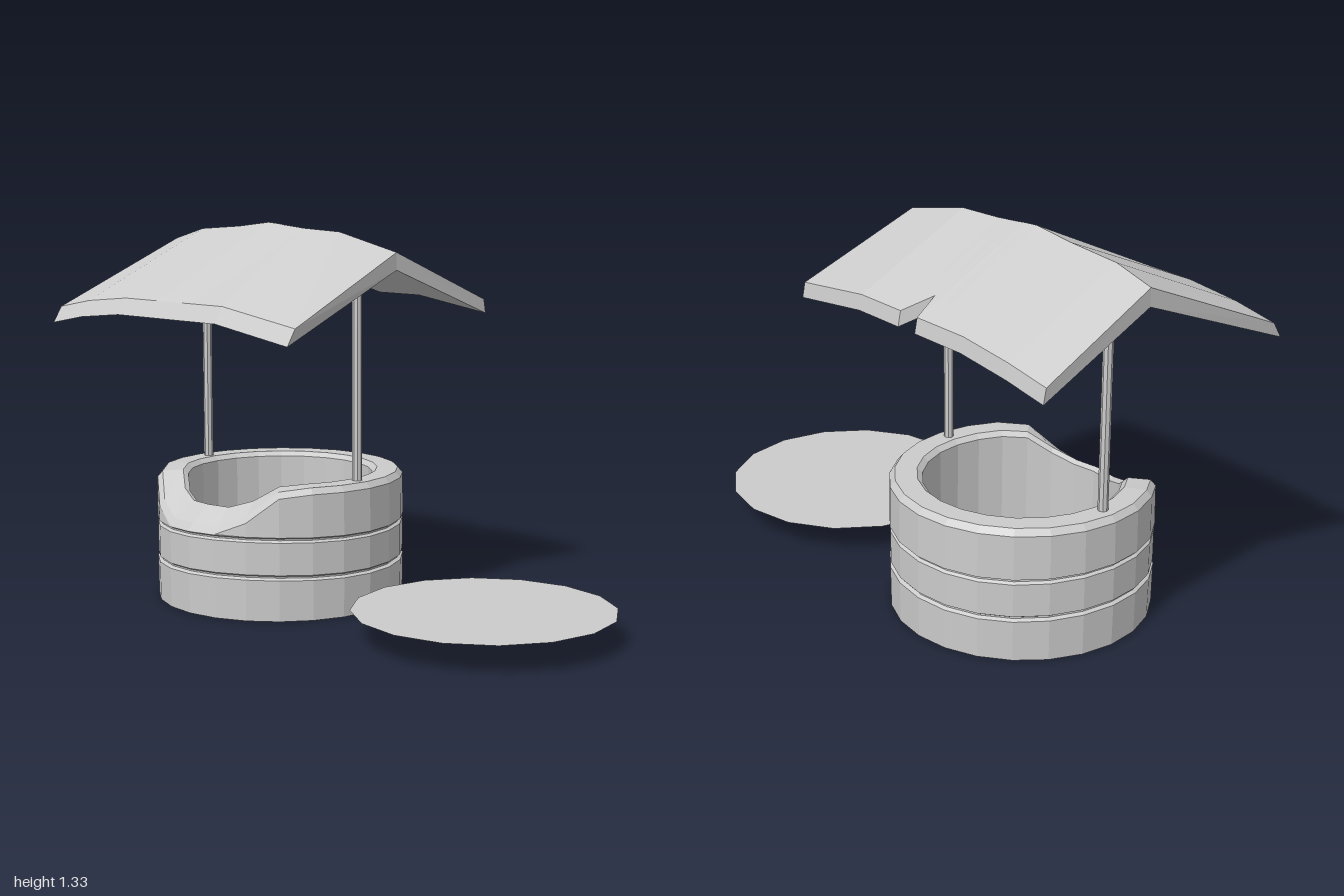
import * as THREE from 'three';

const material = new THREE.MeshStandardMaterial({ color: 0xcccccc, flatShading: true });
const doubleSided = new THREE.MeshStandardMaterial({ color: 0xcccccc, flatShading: true, side: THREE.DoubleSide });

function addMesh(group, name, geometry, mat = material) {
  const mesh = new THREE.Mesh(geometry, mat);
  mesh.name = name;
  group.add(mesh);
  return mesh;
}

// Stone wall: three courses with grooves, turned as one closed profile
function wallGeometry() {
  const profile = [
    [0.33, 0], [0.44, 0], [0.442, 0.14], [0.43, 0.147], [0.43, 0.152], [0.44, 0.158],
    [0.44, 0.27], [0.43, 0.277], [0.43, 0.282], [0.442, 0.288],
    [0.44, 0.435], [0.422, 0.456], [0.348, 0.456], [0.33, 0.44], [0.33, 0],
  ].map(([r, y]) => new THREE.Vector2(r, y));
  const geometry = new THREE.LatheGeometry(profile, 24);
  const pos = geometry.attributes.position;
  for (let i = 0; i < pos.count; i++) {
    const x = pos.getX(i), y = pos.getY(i), z = pos.getZ(i);
    const r = Math.hypot(x, z);
    const angle = Math.atan2(z, -x);
    if (y > 0.43) {
      // Broken gap in the rim on the -x side, deeper on the outside
      const ramp = THREE.MathUtils.clamp((47 - Math.abs(angle) * 180 / Math.PI) / 25, 0, 1);
      const floor = r > 0.43 ? 0.292 : r > 0.4 ? 0.315 : r > 0.34 ? 0.37 : 0.36;
      pos.setY(i, y + (floor - y) * ramp);
    } else if (y > 0.13) {
      // Slightly uneven joints between courses
      pos.setY(i, y + 0.003 * Math.sin(3 * angle));
    }
  }
  geometry.computeVertexNormals();
  return geometry;
}

// Sagging gable roof lofted from six-point cross-sections along z
function roofGeometry() {
  // ridge z, ridge y, left eave z, right eave z, left eave y, right eave y, right eave x
  const sections = [
    [0.135, 1.245, 0.185, 0.17, 1.03, 1.065, 0.48],
    [-0.13, 1.305, -0.15, -0.15, 1.08, 1.11, 0.49],
    [-0.3, 1.312, -0.31, -0.31, 1.08, 1.11, 0.49],
    [-0.345, 1.316, -0.35, -0.345, 1.08, 1.11, 0.49],
    [-0.4, 1.321, -0.4, -0.4, 1.08, 1.153, 0.4], // notch
    [-0.425, 1.324, -0.425, -0.425, 1.08, 1.11, 0.49],
    [-0.48, 1.328, -0.48, -0.48, 1.08, 1.11, 0.49],
    [-0.63, 1.31, -0.64, -0.64, 1.08, 1.11, 0.49],
    [-0.83, 1.295, -0.84, -0.84, 1.06, 1.087, 0.49],
    [-0.975, 1.255, -1, -1, 1.03, 1.06, 0.49],
  ];
  const rings = sections.map(([rz, ry, lz, ez, ly, ey, ex]) => [
    [-0.47, ly, lz], [0.06, ry, rz], [ex, ey, ez],
    [ex + 0.01, ey - 0.05, ez], [0.06, ry - 0.06, rz], [-0.505, ly - 0.055, lz],
  ]);
  const vertices = [];
  const quad = (a, b, c, d) => vertices.push(...a, ...b, ...c, ...a, ...c, ...d);
  for (let i = 0; i < rings.length - 1; i++) {
    for (let j = 0; j < 6; j++) {
      const k = (j + 1) % 6;
      quad(rings[i][j], rings[i][k], rings[i + 1][k], rings[i + 1][j]);
    }
  }
  // Gable ends
  const f = rings[0], b = rings[rings.length - 1];
  quad(f[0], f[5], f[4], f[1]);
  quad(f[1], f[4], f[3], f[2]);
  quad(b[0], b[1], b[4], b[5]);
  quad(b[1], b[2], b[3], b[4]);
  const geometry = new THREE.BufferGeometry();
  geometry.setAttribute('position', new THREE.Float32BufferAttribute(vertices, 3));
  geometry.computeVertexNormals();
  return geometry;
}

export function createModel() {
  const group = new THREE.Group();
  group.name = 'well';

  addMesh(group, 'stoneWall', wallGeometry()).position.set(0.028, 0, -0.395);
  addMesh(group, 'roof', roofGeometry());

  // Posts carrying the ridge
  for (const [name, z] of [['frontPost', -0.013], ['backPost', -0.773]]) {
    const height = 0.79;
    addMesh(group, name, new THREE.CylinderGeometry(0.017, 0.017, height, 8))
      .position.set(0.025, 0.44 + height / 2, z);
  }

  // Flat water disc lying in front of the well
  const water = addMesh(group, 'waterDisc', new THREE.CircleGeometry(0.44, 16), doubleSided);
  water.rotation.x = -Math.PI / 2;
  water.position.set(0.025, 0.1, 0.557);

  return group;
}
